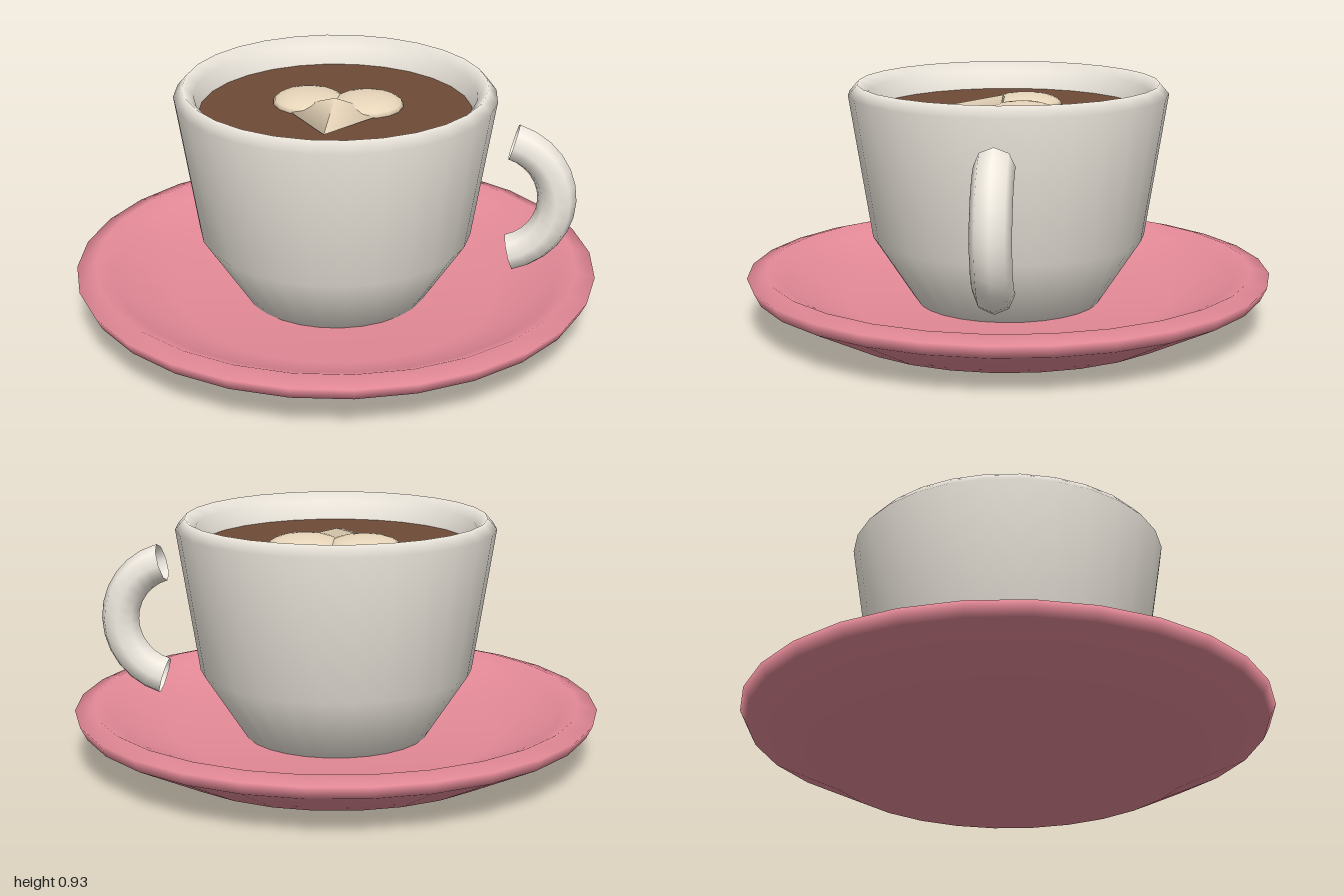
import * as THREE from 'three';

const SIDES = 28;

const material = (color) => new THREE.MeshStandardMaterial({ color, side: THREE.DoubleSide });

function add(parent, name, geometry, mat) {
  const mesh = new THREE.Mesh(geometry, mat);
  mesh.name = name;
  parent.add(mesh);
  return mesh;
}

// Revolve a list of [radius, height] pairs
const lathe = (profile) =>
  new THREE.LatheGeometry(profile.map(([r, y]) => new THREE.Vector2(r, y)), SIDES);

export function createModel() {
  const model = new THREE.Group();
  model.name = 'cupAndSaucer';

  const pink = material(0xe58a98);
  const china = material(0xf2ece2);
  const brown = material(0x6f4a37);
  const cream = material(0xe8d6ba);

  // Saucer: flat base, flared underside, rolled lip, shallow dish
  add(model, 'saucer', lathe([
    [0, 0], [0.69, 0], [0.975, 0.145], [1, 0.195], [0.93, 0.215],
    [0.86, 0.18], [0.62, 0.085], [0, 0.08],
  ]), pink);

  // Cup: tapered foot, flared wall, rounded rim, hollow inside
  add(model, 'cup', lathe([
    [0, 0.07], [0.345, 0.07], [0.52, 0.34], [0.605, 0.885], [0.57, 0.925],
    [0.53, 0.89], [0.505, 0.78], [0.45, 0.36], [0.3, 0.14], [0, 0.13],
  ]), china);

  // Handle: open-ended arc of a ring beside the cup
  const halfArc = THREE.MathUtils.degToRad(74);
  const handle = add(model, 'handle', new THREE.TorusGeometry(0.234, 0.073, 8, 12, halfArc * 2), china);
  handle.rotation.z = -halfArc;
  handle.position.set(0.606, 0.507, 0);

  // Coffee surface
  const coffee = add(model, 'coffee', new THREE.CircleGeometry(0.515, SIDES), brown);
  coffee.rotation.x = -Math.PI / 2;
  coffee.position.y = 0.82;

  // Foam heart: two flattened lobes and a flattened four-sided point
  const heart = new THREE.Group();
  heart.name = 'foamHeart';
  heart.position.y = 0.825;
  model.add(heart);
  for (const side of [-1, 1]) {
    const lobe = add(heart, side > 0 ? 'leftLobe' : 'rightLobe', new THREE.SphereGeometry(0.137, 16, 10), cream);
    lobe.scale.y = 0.3;
    lobe.position.set(side * 0.112, 0, -0.06);
  }
  const point = new THREE.ConeGeometry(0.195, 0.25, 4);
  point.rotateX(Math.PI / 2);
  point.scale(1, 0.25, 1);
  add(heart, 'heartPoint', point, cream).position.z = 0.145;

  return model;
}
